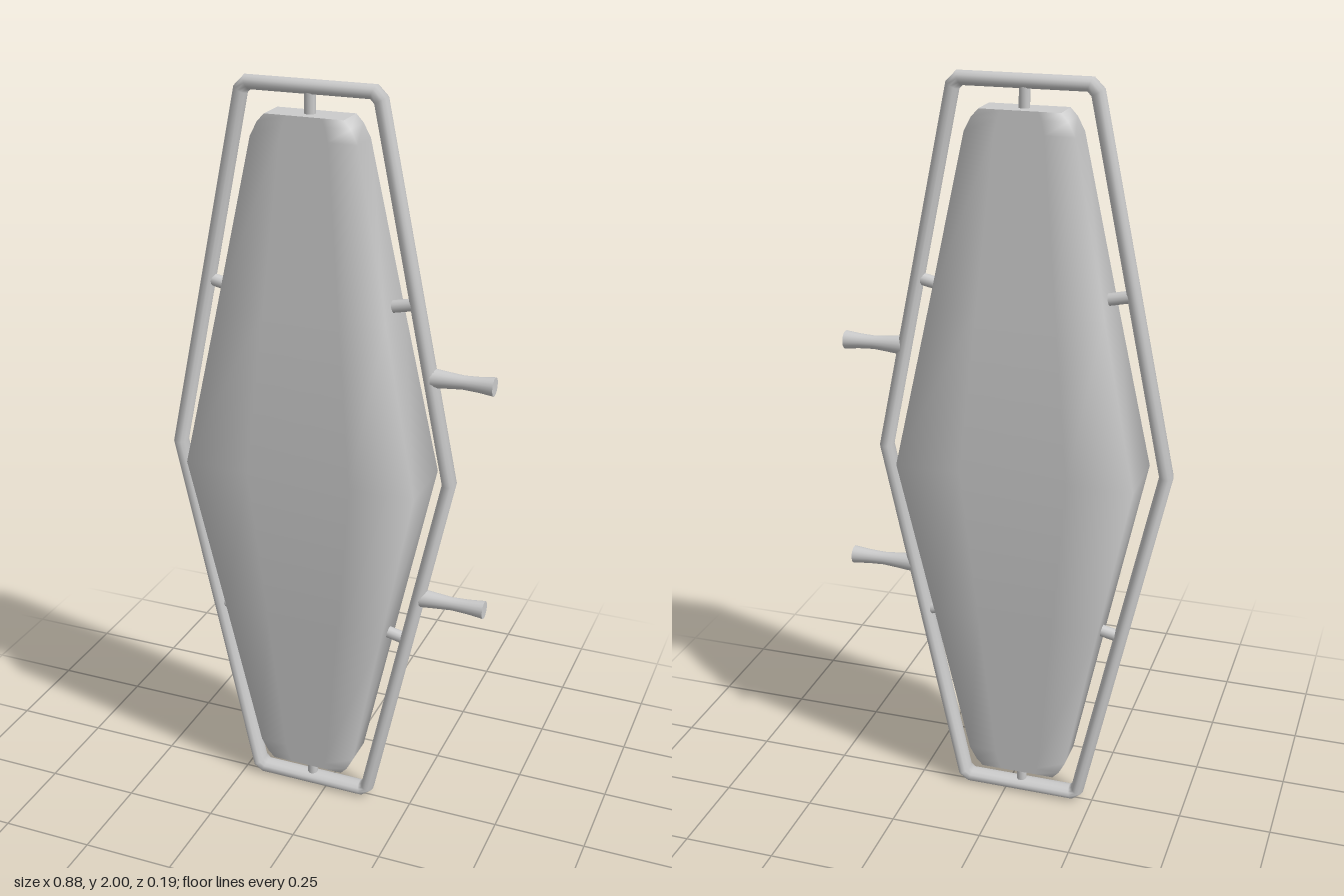
import * as THREE from 'three';

const material = new THREE.MeshStandardMaterial({ color: 0xcccccc });
const CX = -0.044; // centre line of panel and frame

// Skin a list of equal-length rings of [x, y, z] points
function loft(rings, { closed = false, caps = false } = {}) {
  const n = rings[0].length, pos = rings.flat(2), index = [];
  const spans = closed ? rings.length : rings.length - 1;
  for (let i = 0; i < spans; i++) {
    for (let j = 0; j < n; j++) {
      const k = (j + 1) % n, u = (i + 1) % rings.length;
      const a = i * n + j, b = i * n + k, c = u * n + k, d = u * n + j;
      index.push(a, b, c, a, c, d);
    }
  }
  if (caps) {
    [rings[0].slice().reverse(), rings[rings.length - 1]].forEach((ring) => {
      const start = pos.length / 3;
      pos.push(...ring.flat());
      for (let j = 1; j < n - 1; j++) index.push(start, start + j, start + j + 1);
    });
  }
  const geo = new THREE.BufferGeometry();
  geo.setAttribute('position', new THREE.Float32BufferAttribute(pos, 3));
  geo.setIndex(index);
  geo.computeVertexNormals();
  return geo;
}

function add(group, name, geo) {
  const mesh = new THREE.Mesh(geo, material);
  mesh.name = name;
  group.add(mesh);
  return mesh;
}

// Round rod between two points
function rod(group, name, from, to, radius) {
  const a = new THREE.Vector3(...from), b = new THREE.Vector3(...to);
  const dir = b.clone().sub(a);
  const mesh = add(group, name, new THREE.CylinderGeometry(radius, radius, dir.length(), 12));
  mesh.position.copy(a).add(b).multiplyScalar(0.5);
  mesh.quaternion.setFromUnitVectors(new THREE.Vector3(0, 1, 0), dir.normalize());
}

// Diamond panel: rectangular sections, widest and thickest at mid height
function panelGeometry() {
  const levels = [
    [0.085, 0.102], [0.105, 0.12], [0.14, 0.138], [0.57, 0.226], [1.0, 0.315],
    [1.43, 0.226], [1.865, 0.138], [1.9, 0.12], [1.92, 0.102],
  ];
  const across = [-1, -0.45, 0, 0.45, 1];
  return loft(levels.map(([y, w]) => {
    const d = 0.096 - 0.055 * Math.abs(y - 1) / 0.92;
    const front = across.map((u) => [CX + u * w, y, d]);
    const back = across.map((u) => [CX - u * w, y, -d]);
    return [...front, ...back];
  }), { caps: true });
}

// Six-sided tube frame with clipped corners, mitred at every bend
function frameGeometry() {
  // x, y, half depth in z
  const path = [
    [0.105, 0.022, 0.027], [0.124, 0.037, 0.03], [0.333, 1.015, 0.026],
    [0.136, 1.965, 0.022], [0.118, 1.983, 0.021],
    [-0.206, 1.983, 0.021], [-0.224, 1.965, 0.022], [-0.423, 1.015, 0.026],
    [-0.208, 0.037, 0.03], [-0.19, 0.022, 0.027],
  ];
  const sides = 12, r = 0.018, n = path.length;
  const normal = (p, q) => new THREE.Vector2(q[1] - p[1], p[0] - q[0]).normalize();
  return loft(path.map((p, i) => {
    const n1 = normal(path[(i + n - 1) % n], p), n2 = normal(p, path[(i + 1) % n]);
    const m = n1.clone().add(n2).divideScalar(1 + n1.dot(n2));
    return Array.from({ length: sides }, (_, j) => {
      const a = j / sides * Math.PI * 2, c = Math.cos(a) * r;
      return [p[0] + m.x * c, p[1] + m.y * c, -p[2] * Math.sin(a)];
    });
  }), { closed: true });
}

// Waisted grip turned about its own axis, with capped ends
function handleGeometry(length) {
  const profile = [[0, 0], [0.025, 0], [0.025, 0], [0.021, 0.25], [0.0175, 0.5],
    [0.0195, 0.75], [0.024, 1], [0.024, 1], [0, 1]];
  return new THREE.LatheGeometry(profile.map(([r, t]) => new THREE.Vector2(r, t * length)), 16);
}

export function createModel() {
  const model = new THREE.Group();
  model.name = 'framedPanel';
  add(model, 'panel', panelGeometry());
  add(model, 'frame', frameGeometry());

  // Pegs joining panel and frame at the ends
  rod(model, 'topPeg', [CX, 1.9, 0], [CX, 1.98, 0], 0.014);
  rod(model, 'bottomPeg', [CX, 0.025, 0], [CX, 0.105, 0], 0.014);

  // Four side pegs, square to the sloping rails
  for (const side of [-1, 1]) {
    for (const end of [-1, 1]) {
      const name = (end > 0 ? 'upper' : 'lower') + (side > 0 ? 'Left' : 'Right') + 'Peg';
      const y = end > 0 ? 1.463 : 0.553;
      rod(model, name, [CX + side * 0.2, y, 0], [CX + side * 0.275, y + end * 0.016, 0], 0.016);
    }
  }

  // Two handles on the left rail
  for (const [name, x, y] of [['upperHandle', 0.28, 1.295], ['lowerHandle', 0.265, 0.672]]) {
    const handle = add(model, name, handleGeometry(0.44 - x));
    handle.rotation.z = -Math.PI / 2;
    handle.position.set(x, y, 0);
  }
  return model;
}
